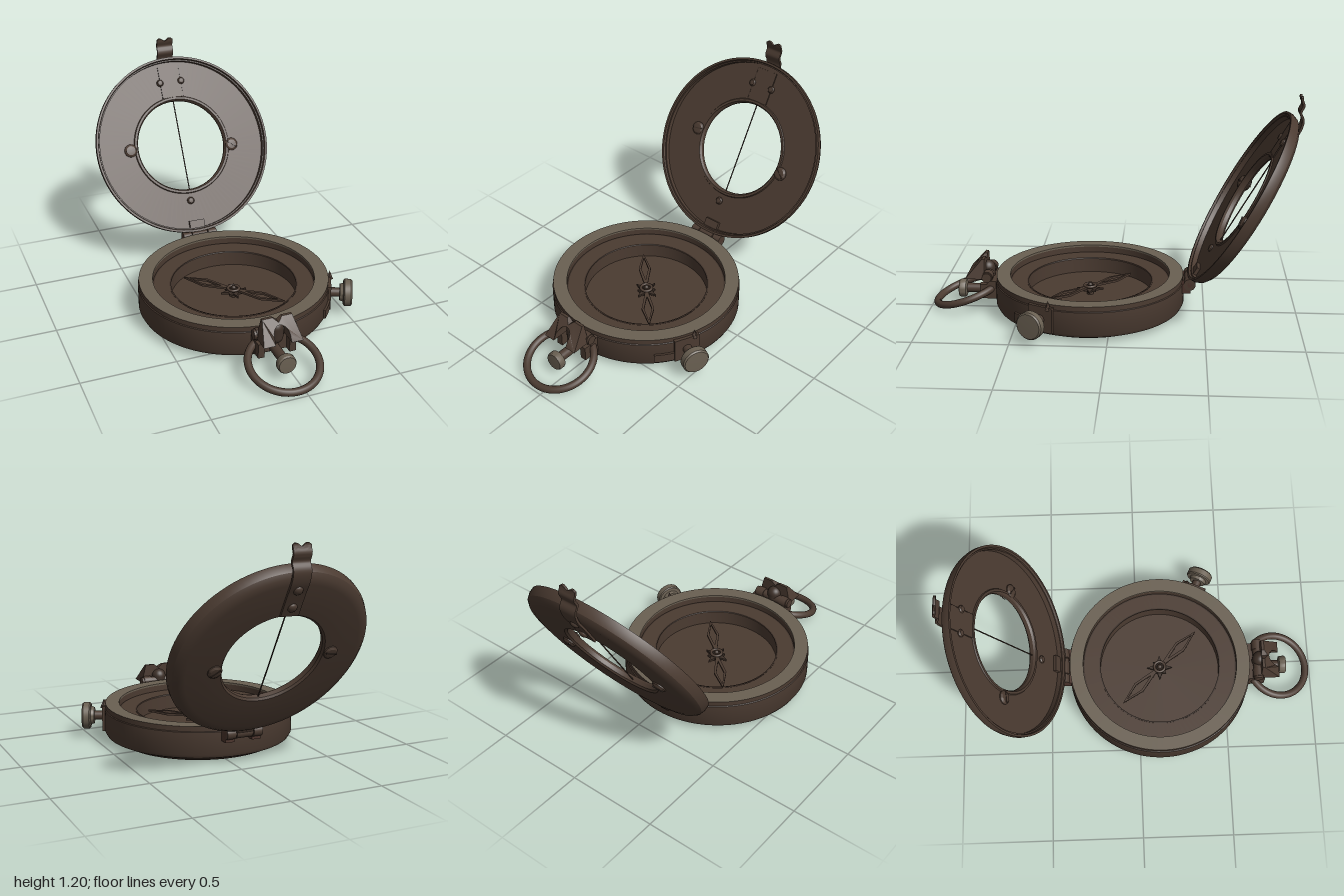
import * as THREE from 'three';
import { toCreasedNormals } from 'three/addons/utils/BufferGeometryUtils.js';

const paint = (name, color) => {
  const m = new THREE.MeshStandardMaterial({ color });
  m.name = name;
  return m;
};
const V2 = (p) => p.map(([x, y]) => new THREE.Vector2(x, y));
const lathe = (pts, seg = 96) => toCreasedNormals(new THREE.LatheGeometry(V2(pts), seg), 0.5);
const box = (w, h, d) => new THREE.BoxGeometry(w, h, d);
const cyl = (r, h, seg = 32) => new THREE.CylinderGeometry(r, r, h, seg);

function add(parent, name, geo, mat, pos = [0, 0, 0], rot = [0, 0, 0]) {
  const m = new THREE.Mesh(geo, mat);
  m.name = name;
  m.position.set(...pos);
  m.rotation.set(...rot);
  parent.add(m);
  return m;
}
function group(parent, name, pos, rot = [0, 0, 0]) {
  const g = new THREE.Group();
  g.name = name;
  g.position.set(...pos);
  g.rotation.set(...rot);
  parent.add(g);
  return g;
}

export function createModel() {
  const bronze = paint('bronze', 0x4b3b31);
  const dark = paint('dark bronze', 0x3d3028);
  const grey = paint('worn grey metal', 0x6a6052);
  const red = paint('reddish bronze', 0x4c342c);
  const H = Math.PI / 2;
  const model = new THREE.Group();
  model.name = 'compass';

  // Case: round body with a stepped well; origin on its vertical axis
  const body = group(model, 'caseGroup', [-0.045, 0, 0.125]);
  add(body, 'case', lathe([
    [0, 0.006], [0.1, 0.006], [0.105, 0.012], [0.28, 0.012], [0.285, 0.004], [0.4, 0.004],
    [0.41, 0], [0.44, 0], [0.447, 0.007], [0.447, 0.022], [0.485, 0.022], [0.505, 0.031],
    [0.515, 0.05], [0.515, 0.17], [0.51, 0.173], [0.51, 0.2]]), bronze);
  add(body, 'rim', lathe([[0.51, 0.2], [0.435, 0.2], [0.435, 0.19]]), grey);
  add(body, 'well', lathe([
    [0.435, 0.19], [0.435, 0.155], [0.345, 0.155], [0.34, 0.15], [0.34, 0.07], [0, 0.07]]), bronze);
  for (const r of [0.432, 0.341])
    add(body, 'wellLine', new THREE.RingGeometry(r - 0.004, r + 0.004, 96), dark, [0, 0.157, 0], [-H, 0, 0]);

  // Needle: two open diamonds around a hub with a small star
  const needle = group(body, 'needle', [0, 0.105, 0], [0, -0.8, 0]);
  const arm = new THREE.Shape(V2([[0.03, -0.008], [0.17, -0.034], [0.3, 0], [0.17, 0.034], [0.03, 0.008]]));
  arm.holes.push(new THREE.Path(V2([[0.07, 0], [0.17, 0.021], [0.268, 0], [0.17, -0.021]])));
  const armGeo = new THREE.ExtrudeGeometry(arm, { depth: 0.012, bevelEnabled: false });
  for (const s of [0, Math.PI]) add(needle, 'needleArm', armGeo, bronze, [0, 0, 0], [-H, 0, s]);
  const star = new THREE.Shape(V2(Array.from({ length: 16 }, (_, i) => {
    const r = i % 2 ? 0.035 : i % 4 ? 0.05 : 0.072, a = i * Math.PI / 8;
    return [r * Math.cos(a), r * Math.sin(a)];
  })));
  add(needle, 'star', new THREE.ExtrudeGeometry(star, { depth: 0.012, bevelEnabled: false }), dark, [0, -0.012, 0], [-H, 0, 0.8]);
  add(needle, 'pivot', cyl(0.018, 0.05), bronze, [0, -0.01, 0]);
  add(needle, 'hubRing', new THREE.TorusGeometry(0.03, 0.008, 10, 32), bronze, [0, 0.014, 0], [H, 0, 0]);
  add(needle, 'hubCap', new THREE.SphereGeometry(0.014, 16, 10), dark, [0, 0.016, 0]);

  // Side lock: local x points outwards from the case
  const lock = group(body, 'sideLock', [0, 0.115, 0], [0, -0.435, 0]);
  add(lock, 'lockPlate', box(0.03, 0.14, 0.14), bronze, [0.51, 0, 0]);
  add(lock, 'lockTip', new THREE.ConeGeometry(0.02, 0.05, 4), bronze, [0.517, 0.08, -0.045]);
  add(lock, 'lockStem', cyl(0.025, 0.09), bronze, [0.55, 0, 0], [0, 0, H]);
  add(lock, 'lockKnob', lathe([[0, 0], [0.045, 0], [0.05, 0.018], [0.068, 0.02], [0.073, 0.026],
    [0.073, 0.058], [0.066, 0.066], [0, 0.068]], 40), grey, [0.573, 0, 0], [0, 0, -H]);
  const strip = new THREE.Shape();
  strip.absarc(0, 0, 0.526, 0, 0.34, false);
  strip.absarc(0, 0, 0.505, 0.34, 0, true);
  add(lock, 'lockLever', new THREE.ExtrudeGeometry(strip, { depth: 0.05, bevelEnabled: false, curveSegments: 12 }),
    bronze, [0, -0.01, 0], [H, 0, 0]);

  // Hinge at the back
  const hinge = group(model, 'hinge', [-0.045, 0.17, -0.42]);
  add(hinge, 'hingePin', cyl(0.014, 0.2), red, [0, 0, 0], [0, 0, H]);
  for (const s of [-1, 1]) {
    add(hinge, 'hingeKnuckle', cyl(0.032, 0.05), bronze, [s * 0.075, 0, 0], [0, 0, H]);
    add(hinge, 'hingeLug', box(0.05, 0.055, 0.06), red, [s * 0.075, -0.02, 0.025]);
  }
  add(hinge, 'lidKnuckle', cyl(0.03, 0.09), bronze, [0, 0, 0], [0, 0, H]);
  add(hinge, 'lidLug', box(0.09, 0.09, 0.03), bronze, [0, 0.035, -0.03], [-Math.PI / 6, 0, 0]);

  // Lid: local y runs up the lid, local z faces its inside
  const lid = group(model, 'lid', [-0.045, 0.65, -0.665], [-Math.PI / 6, 0, 0]);
  add(lid, 'lidShell', lathe([
    [0.262, -0.045], [0.262, -0.067], [0.272, -0.077], [0.45, -0.077], [0.483, -0.07], [0.505, -0.052],
    [0.515, -0.025], [0.515, 0], [0.503, 0], [0.499, -0.012], [0.492, -0.012], [0.492, -0.04],
    [0.287, -0.04], [0.283, -0.033], [0.27, -0.033], [0.262, -0.045]]), bronze, [0, 0, 0], [H, 0, 0]);
  add(lid, 'sightWire', cyl(0.0035, 0.53, 8), dark, [0, 0, -0.055]);
  add(lid, 'innerPlate', box(0.125, 0.185, 0.008), bronze, [0, 0.375, -0.039]);
  for (const s of [-1, 1]) add(lid, 'plateSeam', box(0.004, 0.185, 0.008), dark, [s * 0.0625, 0.375, -0.038]);

  // Slotted screws through the lid: x, y, radius, slot angle
  for (const [x, y, r, a] of [[-0.31, 0.01, 0.037, 0.15], [0.3, -0.04, 0.037, -0.7],
    [-0.065, 0.375, 0.02, 0.1], [0.063, 0.375, 0.02, 0.1], [-0.01, -0.33, 0.021, 0]]) {
    const big = r > 0.03, faces = big ? [[-0.04, 1], [-0.077, -1]] : [[-0.04, 1]];
    for (const [z, s] of faces) {
      add(lid, 'screwHead', lathe([[r, 0], [r, 0.006], [r * 0.7, 0.014], [0, 0.017]], 28), bronze, [x, y, z], [s * H, 0, 0]);
      if (big) add(lid, 'screwSlot', box(r * 1.6, 0.006, 0.009), dark, [x, y, z + s * 0.0135], [0, 0, a]);
    }
  }

  // Wavy latch strap following a curve on the back of the lid
  const path = new THREE.CatmullRomCurve3([[0.275, -0.082], [0.4, -0.082], [0.47, -0.084], [0.515, -0.074],
    [0.532, -0.062], [0.551, -0.036], [0.592, -0.03], [0.612, -0.008], [0.631, 0.004]]
    .map(([y, z]) => new THREE.Vector3(0, y, z)));
  const strap = new THREE.BoxGeometry(0.095, 1, 0.012, 8, 48, 1);
  const p = strap.attributes.position;
  for (let i = 0; i < p.count; i++) {
    const x = p.getX(i), u = p.getY(i) + 0.5, off = p.getZ(i);
    const cut = u > 0.9 ? (u - 0.9) * 0.55 * Math.abs(Math.abs(x) - 0.03) / 0.03 : 0;
    const c = path.getPointAt(u - cut), t = path.getTangentAt(u - cut);
    p.setXYZ(i, x, c.y - t.z * off, c.z + t.y * off);
  }
  add(lid, 'latchStrap', toCreasedNormals(strap, 0.6), bronze);
  for (const y of [0.325, 0.425])
    add(lid, 'strapRivet', new THREE.SphereGeometry(0.024, 20, 12), bronze, [0, y, -0.088]).scale.z = 0.6;

  // Front clasp: bracket, hinge barrels and a sloping sight prism
  const clasp = group(model, 'clasp', [-0.045, 0, 0]);
  add(clasp, 'claspBracket', box(0.21, 0.1, 0.05), bronze, [0, 0.12, 0.655]);
  add(clasp, 'claspBarrel', cyl(0.026, 0.23), bronze, [0, 0.19, 0.68], [0, 0, H]);
  for (const s of [-1, 1]) {
    add(clasp, 'claspKnuckle', cyl(0.031, 0.045), bronze, [s * 0.08, 0.19, 0.68], [0, 0, H]);
    add(clasp, 'ringLug', box(0.035, 0.08, 0.06), bronze, [s * 0.085, 0.11, 0.69]);
  }
  const face = new THREE.Shape(V2([[0.042, 0.18], [0.105, 0.18], [0.08, 0.285], [0.025, 0.285],
    [0, 0.264], [-0.025, 0.285], [-0.08, 0.285], [-0.105, 0.18], [-0.042, 0.18], [-0.042, 0.213]]));
  face.absarc(0, 0.213, 0.042, Math.PI, 0, true);
  const prism = new THREE.ExtrudeGeometry(face, { depth: 1, bevelEnabled: false, curveSegments: 16 });
  const q = prism.attributes.position;
  for (let i = 0; i < q.count; i++) {
    const front = 0.8 - Math.max(0, q.getY(i) - 0.195) * 1.0;
    q.setZ(i, q.getZ(i) > 0.5 ? front : 0.695);
  }
  add(clasp, 'sightPrism', toCreasedNormals(prism, 0.5), bronze);
  add(clasp, 'prismWindow', new THREE.CapsuleGeometry(0.041, 0.05, 8, 24), dark, [0, 0.19, 0.69]);

  // Thumb screw through the carrying ring
  add(clasp, 'thumbStem', cyl(0.026, 0.14), bronze, [0, 0.09, 0.74], [H, 0, 0]);
  add(clasp, 'thumbKnob', lathe([[0, 0], [0.03, 0], [0.047, 0.006], [0.05, 0.012], [0.05, 0.036],
    [0.045, 0.044], [0, 0.046]], 36), grey, [0, 0.088, 0.806], [H, 0, 0]);
  add(clasp, 'carryingRing', new THREE.TorusGeometry(0.18, 0.02, 16, 72), bronze, [0, 0.076, 0.803], [H + 0.32, 0, 0]);

  return model;
}
